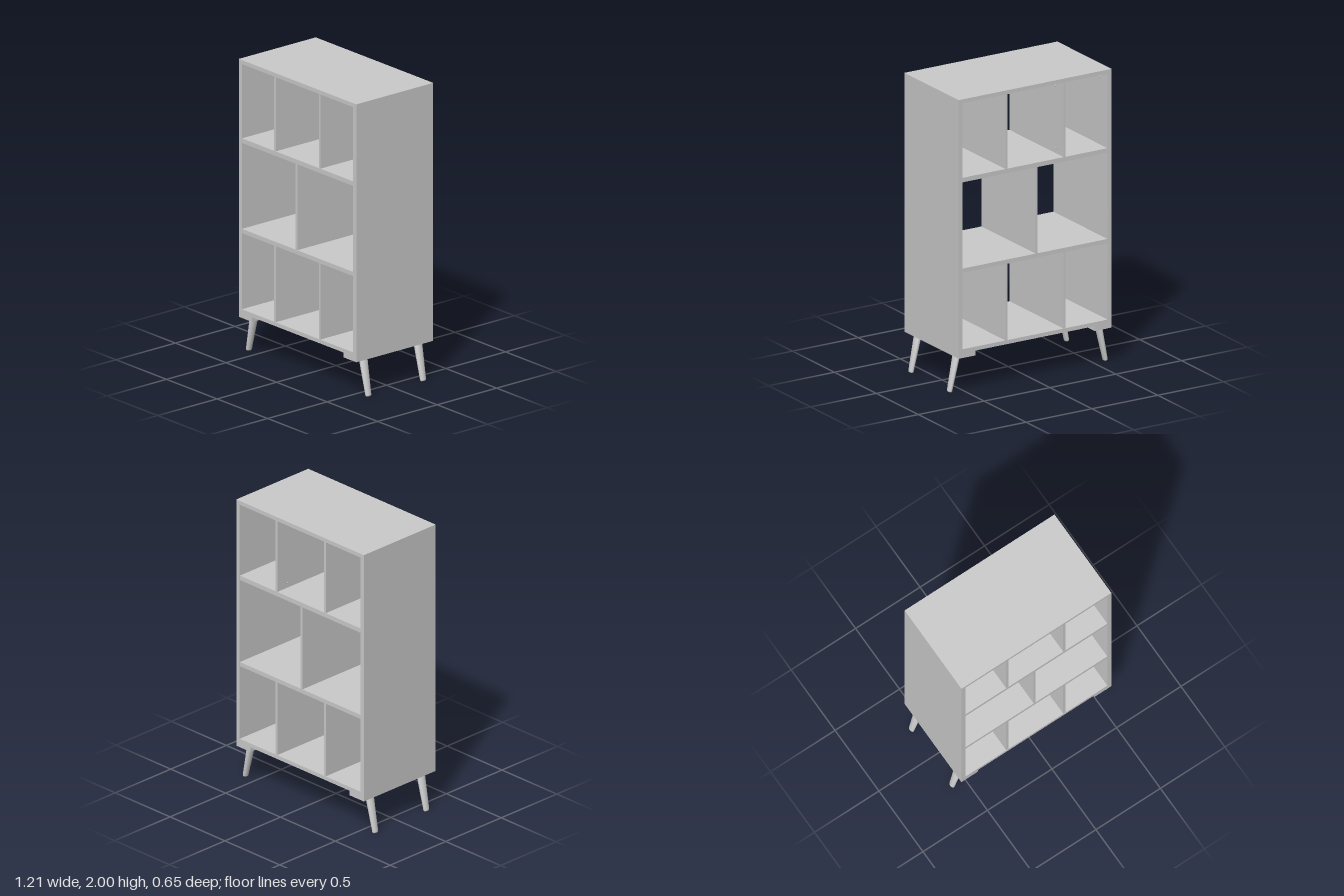
import * as THREE from 'three';

export function createModel() {
  const model = new THREE.Group();
  const mat = new THREE.MeshStandardMaterial({ color: 0xcccccc });
  const D = 0.647; // cabinet depth
  const X = 0.581; // half of the cabinet width
  const IN = 0.55; // half of the inner width

  const add = (name, geo, x, y, z, parent = model) => {
    const mesh = new THREE.Mesh(geo, mat);
    mesh.name = name;
    mesh.position.set(x, y, z);
    parent.add(mesh);
    return mesh;
  };
  // Box given by its x and y limits, running the full depth
  const board = (name, x0, x1, y0, y1, depth = D) =>
    add(name, new THREE.BoxGeometry(x1 - x0, y1 - y0, depth), (x0 + x1) / 2, (y0 + y1) / 2, 0);

  // Outer case, open at front and back
  board('leftSide', IN, X, 0.283, 2);
  board('rightSide', -X, -IN, 0.283, 2);
  board('topPanel', -IN, IN, 1.973, 2);
  board('bottomPanel', -IN, IN, 0.283, 0.31);

  // Shelves
  board('lowerShelf', -IN, IN, 0.826, 0.855, D - 0.002);
  board('upperShelf', -IN, IN, 1.438, 1.469, D - 0.002);

  // Upright dividers: three bays, two bays, three bays
  const dividers = [
    [-0.225, 0.31, 0.826], [0.217, 0.31, 0.826],
    [-0.012, 0.855, 1.438],
    [-0.225, 1.469, 1.973], [0.217, 1.469, 1.973],
  ];
  for (const [x, y0, y1] of dividers) board('divider', x - 0.008, x + 0.008, y0, y1, D - 0.004);

  // Small pegs on the inner faces of the top row
  const peg = new THREE.CylinderGeometry(0.006, 0.006, 0.012, 12).rotateZ(Math.PI / 2);
  const pegs = [
    [-0.55, 1.928], [-0.217, 1.928], [0.209, 1.928], [0.55, 1.928],
    [-0.217, 1.504], [0.209, 1.504],
  ];
  for (const [x, y] of pegs) add('peg', peg, x, y, -0.23);

  // Tapered leg with a softened foot, flattened across x
  const legLength = 0.256;
  const legGeo = new THREE.LatheGeometry([
    [0, 0], [0.017, 0], [0.021, 0.003], [0.0225, 0.009], [0.032, legLength], [0, legLength],
  ].map(([r, y]) => new THREE.Vector2(r, y)), 32).scale(0.67, 1, 1);

  // Mounting plates, each with two splayed legs
  for (const side of [1, -1]) {
    const base = new THREE.Group();
    base.name = side > 0 ? 'leftBase' : 'rightBase';
    model.add(base);
    add('mountingPlate', new THREE.BoxGeometry(0.13, 0.033, D - 0.002), side * 0.516, 0.2665, 0, base);
    for (const z of [0.23, -0.23]) {
      const leg = add('leg', legGeo, side * 0.592, 0.003, z, base);
      leg.rotation.z = side * 0.215;
    }
  }
  return model;
}
